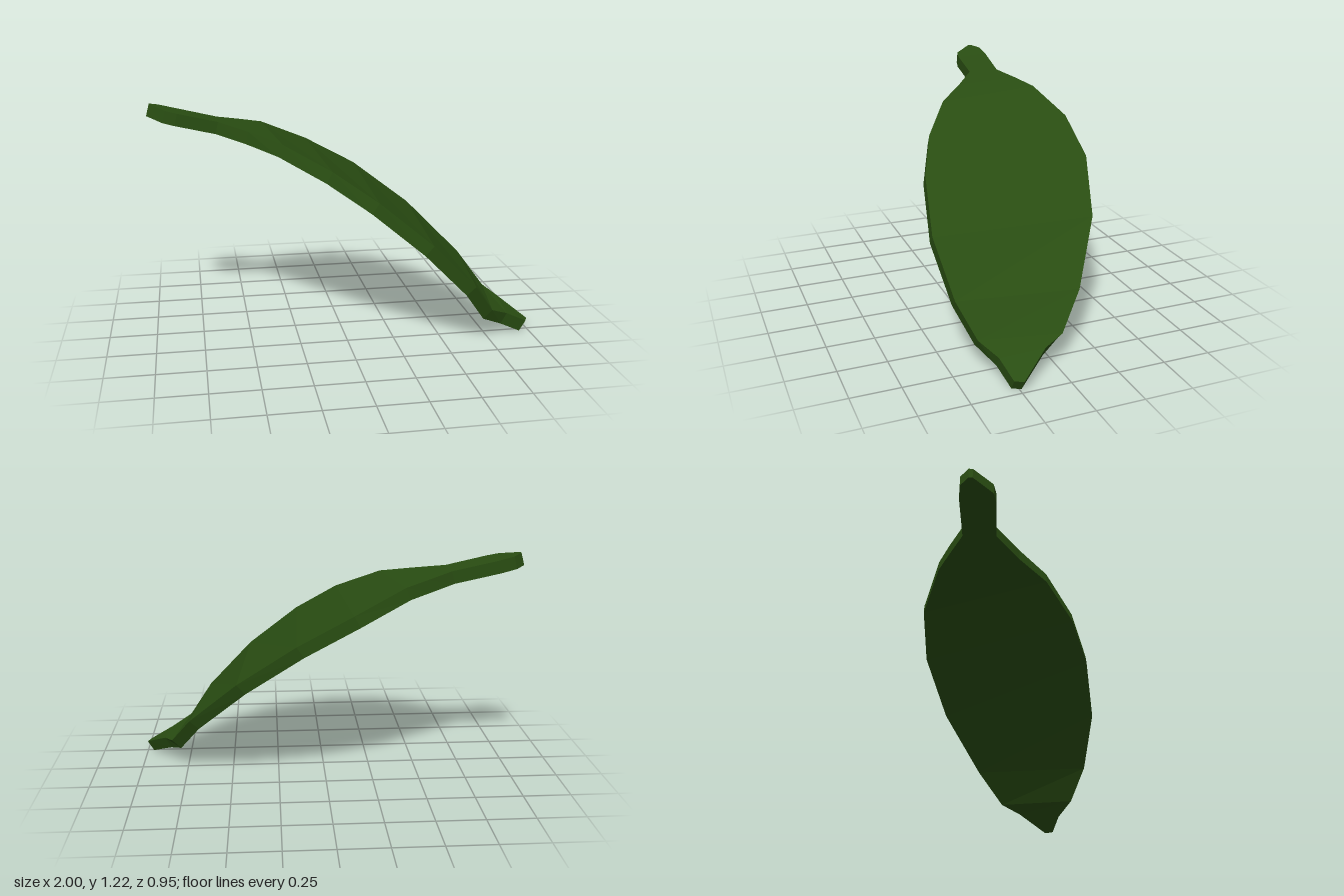
import * as THREE from 'three';

const THICKNESS = 0.066;

// Cross-sections from stalk to tip: upper surface, back edge [x, y, z] then front edge [x, y, z]
const ROWS = [
  [-0.985, 1.22, -0.24, -0.985, 1.22, -0.22],
  [-0.94, 1.208, -0.28, -0.9, 1.197, -0.12],
  [-0.86, 1.188, -0.285, -0.84, 1.183, -0.105],
  [-0.63, 1.135, -0.27, -0.63, 1.135, -0.1],
  [-0.5, 1.107, -0.338, -0.48, 1.1, 0.02],
  [-0.38, 1.08, -0.395, -0.32, 1.056, 0.17],
  [-0.12, 0.962, -0.48, -0.09, 0.942, 0.325],
  [0.16, 0.81, -0.472, 0.13, 0.796, 0.42],
  [0.46, 0.588, -0.365, 0.4, 0.576, 0.475],
  [0.72, 0.328, -0.17, 0.638, 0.334, 0.445],
  [0.83, 0.167, -0.03, 0.755, 0.172, 0.375],
  [0.88, 0.14, 0.08, 0.86, 0.122, 0.31],
  [1.0, 0.058, 0.24, 0.98, 0.06, 0.283],
];

// Thick curved blade: each row becomes a four-cornered ring, offset along the bend's normal
function bladeGeometry(rows) {
  const middle = rows.map((r) => [(r[0] + r[3]) / 2, (r[1] + r[4]) / 2]);
  const last = rows.length - 1;
  const positions = [];
  rows.forEach(([bx, by, bz, fx, fy, fz], i) => {
    const p = middle[Math.max(i - 1, 0)];
    const q = middle[Math.min(i + 1, last)];
    const length = Math.hypot(q[0] - p[0], q[1] - p[1]);
    const dx = ((q[1] - p[1]) / length) * THICKNESS;
    const dy = (-(q[0] - p[0]) / length) * THICKNESS;
    positions.push(bx, by, bz, fx, fy, fz, fx + dx, fy + dy, fz, bx + dx, by + dy, bz);
  });

  const index = [];
  const quad = (a, b, c, d) => index.push(a, b, c, a, c, d);
  for (let i = 0; i < last; i++) {
    for (let k = 0; k < 4; k++) {
      const n = (k + 1) % 4;
      quad(i * 4 + k, i * 4 + n, i * 4 + 4 + n, i * 4 + 4 + k);
    }
  }
  quad(3, 2, 1, 0); // stalk end
  quad(last * 4, last * 4 + 1, last * 4 + 2, last * 4 + 3); // leaf tip

  const geometry = new THREE.BufferGeometry();
  geometry.setAttribute('position', new THREE.Float32BufferAttribute(positions, 3));
  geometry.setIndex(index);
  const flat = geometry.toNonIndexed();
  flat.computeVertexNormals();
  return flat;
}

export function createModel() {
  const group = new THREE.Group();
  group.name = 'leaf';

  const leafGreen = new THREE.MeshStandardMaterial({ color: 0x294d12, flatShading: true });
  leafGreen.name = 'leafGreen';

  // Stalk and blade in one piece
  const blade = new THREE.Mesh(bladeGeometry(ROWS), leafGreen);
  blade.name = 'leafBlade';
  group.add(blade);
  return group;
}
